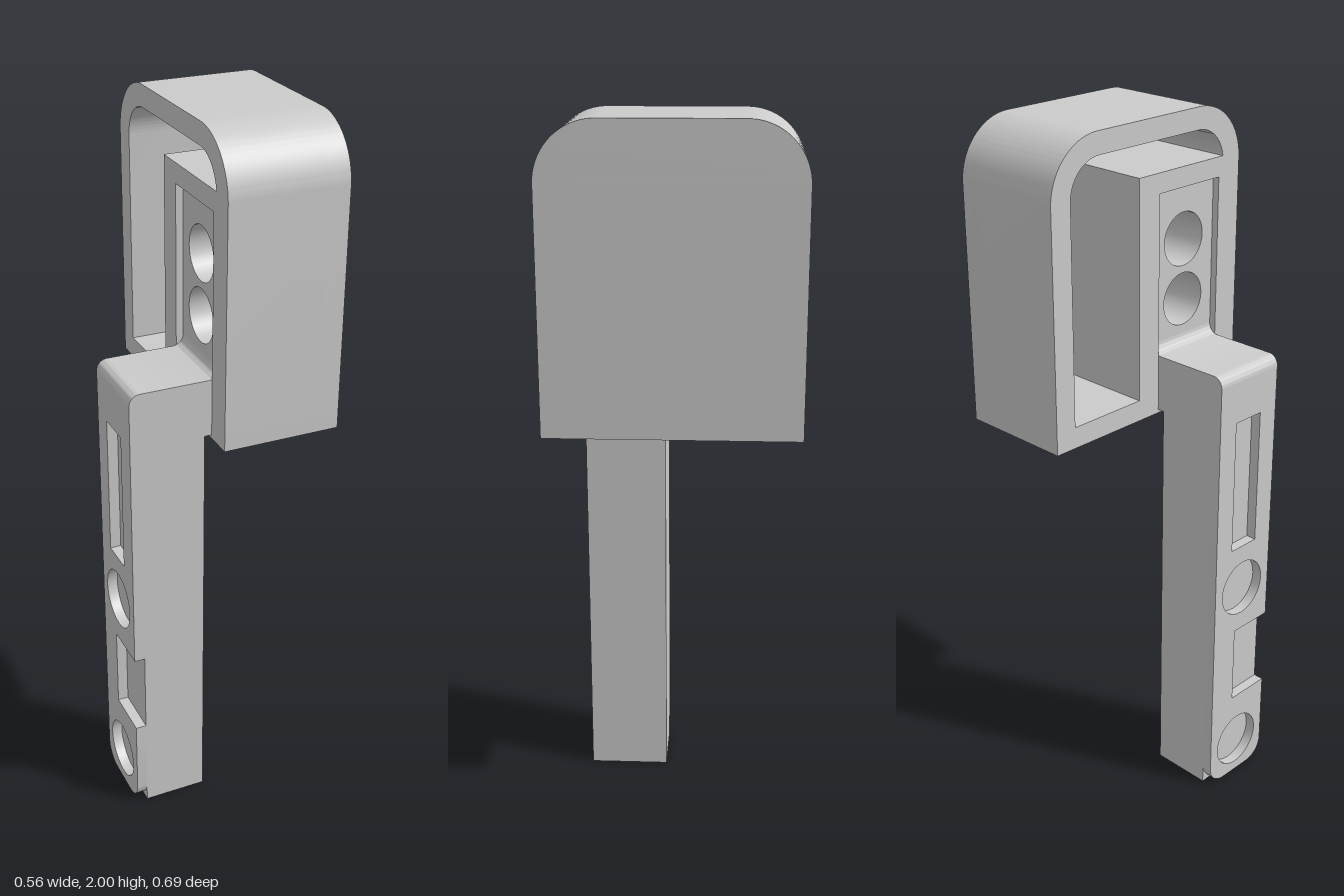
import * as THREE from 'three';
import { toCreasedNormals } from 'three/addons/utils/BufferGeometryUtils.js';

const material = new THREE.MeshStandardMaterial({ color: 0xcccccc });

// Outline in the (z, y) plane with separate radii for top and bottom corners.
function outline(z0, z1, y0, y1, rTop = 0, rBottom = 0, Type = THREE.Shape) {
  const a = -z1, b = -z0; // extrusion below turns shape x into -z
  const s = new Type();
  s.moveTo(a + rBottom, y0);
  s.lineTo(b - rBottom, y0);
  if (rBottom) s.absarc(b - rBottom, y0 + rBottom, rBottom, -Math.PI / 2, 0, false);
  s.lineTo(b, y1 - rTop);
  if (rTop) s.absarc(b - rTop, y1 - rTop, rTop, 0, Math.PI / 2, false);
  s.lineTo(a + rTop, y1);
  if (rTop) s.absarc(a + rTop, y1 - rTop, rTop, Math.PI / 2, Math.PI, false);
  s.lineTo(a, y0 + rBottom);
  if (rBottom) s.absarc(a + rBottom, y0 + rBottom, rBottom, Math.PI, Math.PI * 1.5, false);
  s.closePath();
  return s;
}

const rectHole = (z0, z1, y0, y1, rTop = 0) => outline(z0, z1, y0, y1, rTop, 0, THREE.Path);

function roundHole(z, y, r) {
  const p = new THREE.Path();
  p.absarc(-z, y, r, 0, Math.PI * 2, true);
  return p;
}

function extrude(shape, depth) {
  const g = new THREE.ExtrudeGeometry(shape, { depth, bevelEnabled: false, curveSegments: 16 });
  return toCreasedNormals(g, 0.5);
}

// Slab spanning x0..x1, cut from a (z, y) outline.
function slab(name, shape, x0, x1, holes = []) {
  shape.holes.push(...holes);
  const mesh = new THREE.Mesh(extrude(shape, x1 - x0).rotateY(Math.PI / 2), material);
  mesh.position.x = x0;
  mesh.name = name;
  return mesh;
}

function createHead() {
  const head = new THREE.Group();
  head.name = 'head';
  const front = -0.05, floor = 0.22, back = 0.28;

  // Housing: rounded wall around an open cavity, closed by a plate
  head.add(
    slab('housingWall', outline(-0.345, 0.345, 1.18, 2, 0.16), front, floor,
      [rectHole(-0.28, 0.28, 1.24, 1.94, 0.1)]),
    slab('housingPlate', outline(-0.345, 0.345, 1.18, 2, 0.16), floor, back)
  );

  // Socket block: shallow pocket, then two deep bores, then solid
  const block = () => outline(-0.04, 0.28, 1.24, 1.855);
  head.add(
    slab('socketRim', block(), front, -0.03, [rectHole(0.035, 0.265, 1.26, 1.8)]),
    slab('socketBores', block(), -0.03, 0.12, [1.48, 1.65].map(y => roundHole(0.15, y, 0.075))),
    slab('socketBase', block(), 0.12, floor)
  );
  return head;
}

function createHandle() {
  const handle = new THREE.Group();
  handle.name = 'handle';
  const z0 = 0.035, z1 = 0.265, outer = -0.28, inner = -0.25;

  // Bar: side profile with rounded shoulder and a small fillet into the socket
  const p = new THREE.Shape();
  p.moveTo(inner, 0);
  p.lineTo(-0.07, 0);
  p.lineTo(-0.07, 1.19);
  p.lineTo(-0.03, 1.19);
  p.lineTo(-0.03, 1.38);
  p.absarc(-0.06, 1.38, 0.03, 0, -Math.PI / 2, true);
  p.lineTo(inner, 1.35);
  p.absarc(inner, 1.32, 0.03, Math.PI / 2, Math.PI, false);
  p.lineTo(inner, 1.32);
  p.closePath();
  const bar = new THREE.Mesh(extrude(p, z1 - z0), material);
  bar.position.z = z0;
  bar.name = 'handleBar';
  handle.add(bar);

  // Cover layer: rounded foot, side notch, slot and two round recesses
  const r = 0.06;
  const c = new THREE.Shape();
  c.moveTo(-z1 + r, 0);
  c.lineTo(-z0 - r, 0);
  c.absarc(-z0 - r, r, r, -Math.PI / 2, 0, false);
  c.lineTo(-z0, 1.32);
  c.lineTo(-z1, 1.32);
  c.lineTo(-z1, 0.52);
  c.lineTo(-0.125, 0.52);
  c.lineTo(-0.125, 0.28);
  c.lineTo(-z1, 0.28);
  c.lineTo(-z1, r);
  c.absarc(-z1 + r, r, r, Math.PI, Math.PI * 1.5, false);
  handle.add(slab('handleCover', c, outer, inner, [
    rectHole(0.1, 0.2, 0.8, 1.2),
    roundHole(0.15, 0.66, 0.085),
    roundHole(0.15, 0.115, 0.085)
  ]));
  return handle;
}

export function createModel() {
  const model = new THREE.Group();
  model.name = 'model';
  model.add(createHead(), createHandle());
  return model;
}
